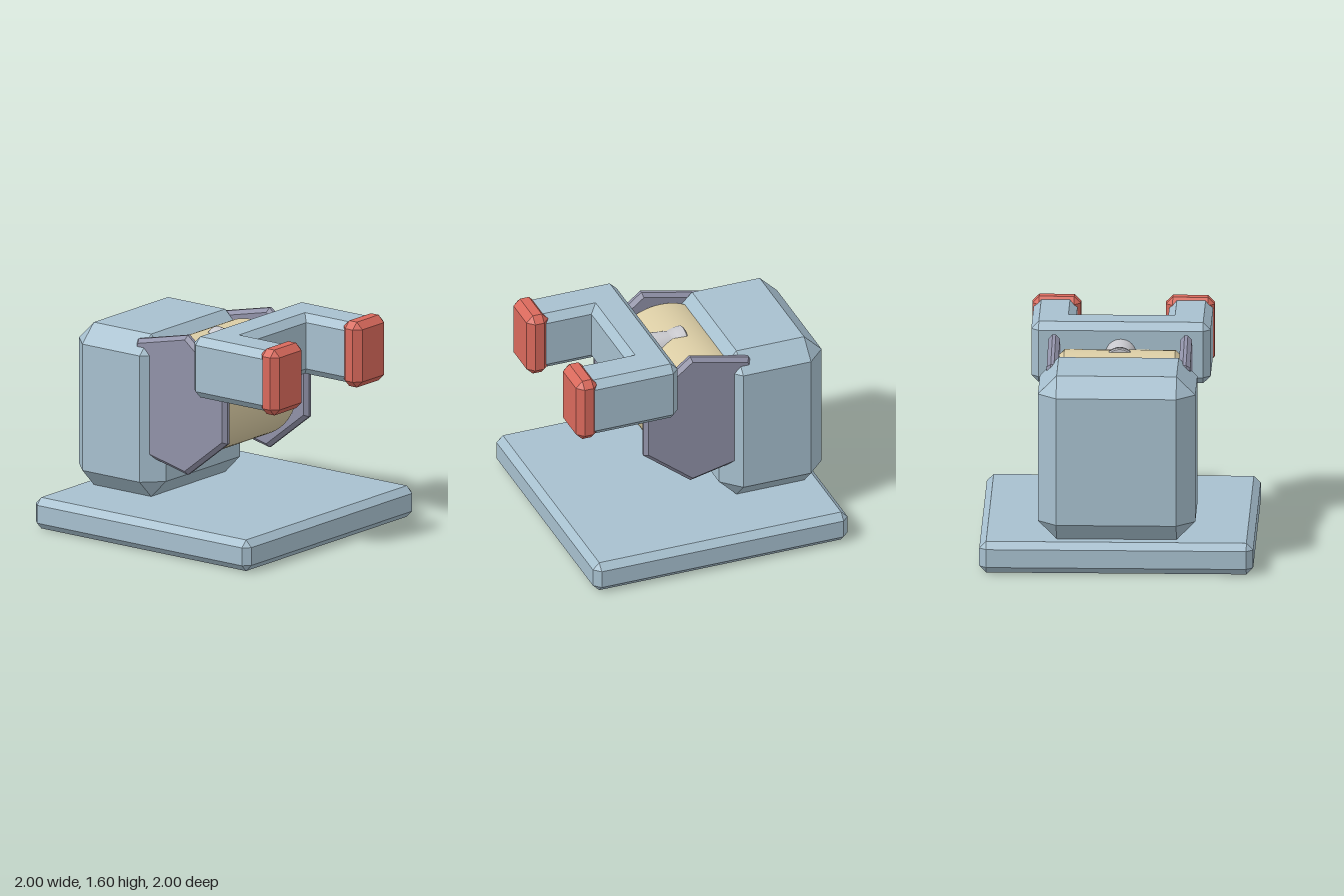
import * as THREE from 'three';
import { toCreasedNormals } from 'three/addons/utils/BufferGeometryUtils.js';
import { ConvexGeometry } from 'three/addons/geometries/ConvexGeometry.js';

const material = (name, color) => {
  const m = new THREE.MeshStandardMaterial({ color });
  m.name = name;
  return m;
};

// Box between two corners with every edge and corner cut by c
function chamferBox([x0, y0, z0], [x1, y1, z1], c) {
  const half = [(x1 - x0) / 2, (y1 - y0) / 2, (z1 - z0) / 2];
  const points = [];
  for (const sx of [-1, 1]) for (const sy of [-1, 1]) for (const sz of [-1, 1]) {
    for (let face = 0; face < 3; face++) {
      const p = half.map((h, i) => (i === face ? h : h - c));
      points.push(new THREE.Vector3(p[0] * sx, p[1] * sy, p[2] * sz));
    }
  }
  return new ConvexGeometry(points)
    .translate((x0 + x1) / 2, (y0 + y1) / 2, (z0 + z1) / 2);
}

// Turned solid around y; profile is [radius, height] from bottom to top
function turned(profile, segments, crease, phiStart = 0) {
  const points = profile.map(([r, h]) => new THREE.Vector2(r, h));
  return toCreasedNormals(new THREE.LatheGeometry(points, segments, phiStart), crease);
}

export function createModel() {
  const group = new THREE.Group();
  const steel = material('pale blue steel', 0xa7c0cf);
  const red = material('red pads', 0xd9695c);
  const violet = material('violet grey plates', 0x9192a8);
  const tan = material('tan drum', 0xdacca4);
  const silver = material('silver knob', 0xc9c9ce);

  const add = (name, geometry, mat) => {
    const mesh = new THREE.Mesh(geometry, mat);
    mesh.name = name;
    group.add(mesh);
    return mesh;
  };

  // Base slab and rear housing
  add('base', chamferBox([-1, 0, -1], [1, 0.235, 1], 0.05), steel);
  add('housing', chamferBox([-0.575, 0.235, -1], [0.575, 1.465, -0.195], 0.137), steel);

  // Drum on a horizontal axle
  const axleY = 1.005, axleZ = -0.068;
  const drum = add('drum', turned(
    [[0, -0.44], [0.4, -0.44], [0.435, -0.405], [0.435, 0.405], [0.4, 0.44], [0, 0.44]],
    64, 0.4), tan);
  drum.rotation.z = -Math.PI / 2;
  drum.position.set(0, axleY, axleZ);

  // Seven-sided bevelled plates at both ends of the drum
  for (const [side, s] of [['left', 1], ['right', -1]]) {
    const plate = add(side + 'SidePlate', turned(
      [[0, -0.042], [0.51, -0.042], [0.542, -0.012], [0.542, 0.012], [0.51, 0.042], [0, 0.042]],
      7, 0.2, Math.PI / 7), violet);
    plate.rotation.z = -Math.PI / 2;
    plate.position.set(s * 0.482, axleY, axleZ);
  }

  // Waisted knob lying between drum and fork
  const knob = add('knob', turned(
    [[0, -0.095], [0.112, -0.095], [0.12, -0.085], [0.119, -0.06], [0.112, -0.02],
      [0.1, 0.02], [0.102, 0.035], [0.112, 0.13], [0.113, 0.2], [0.113, 0.3], [0, 0.3]],
    32, 0.6), silver);
  knob.rotation.x = Math.PI / 2;
  knob.position.y = 1.35;

  // Fork: crossbar, two prongs and their red end caps
  add('forkCrossbar', chamferBox([-0.655, 1.12, 0.195], [0.655, 1.58, 0.5], 0.055), steel);
  for (const [side, s] of [['left', 1], ['right', -1]]) {
    const cx = s * 0.495;
    add(side + 'ForkProng',
      chamferBox([cx - 0.16, 1.12, 0.195], [cx + 0.16, 1.58, 0.96], 0.055), steel);
    const px = s * 0.488;
    add(side + 'ForkPad',
      chamferBox([px - 0.178, 1.105, 0.83], [px + 0.178, 1.6, 1], 0.05), red);
  }
  return group;
}
